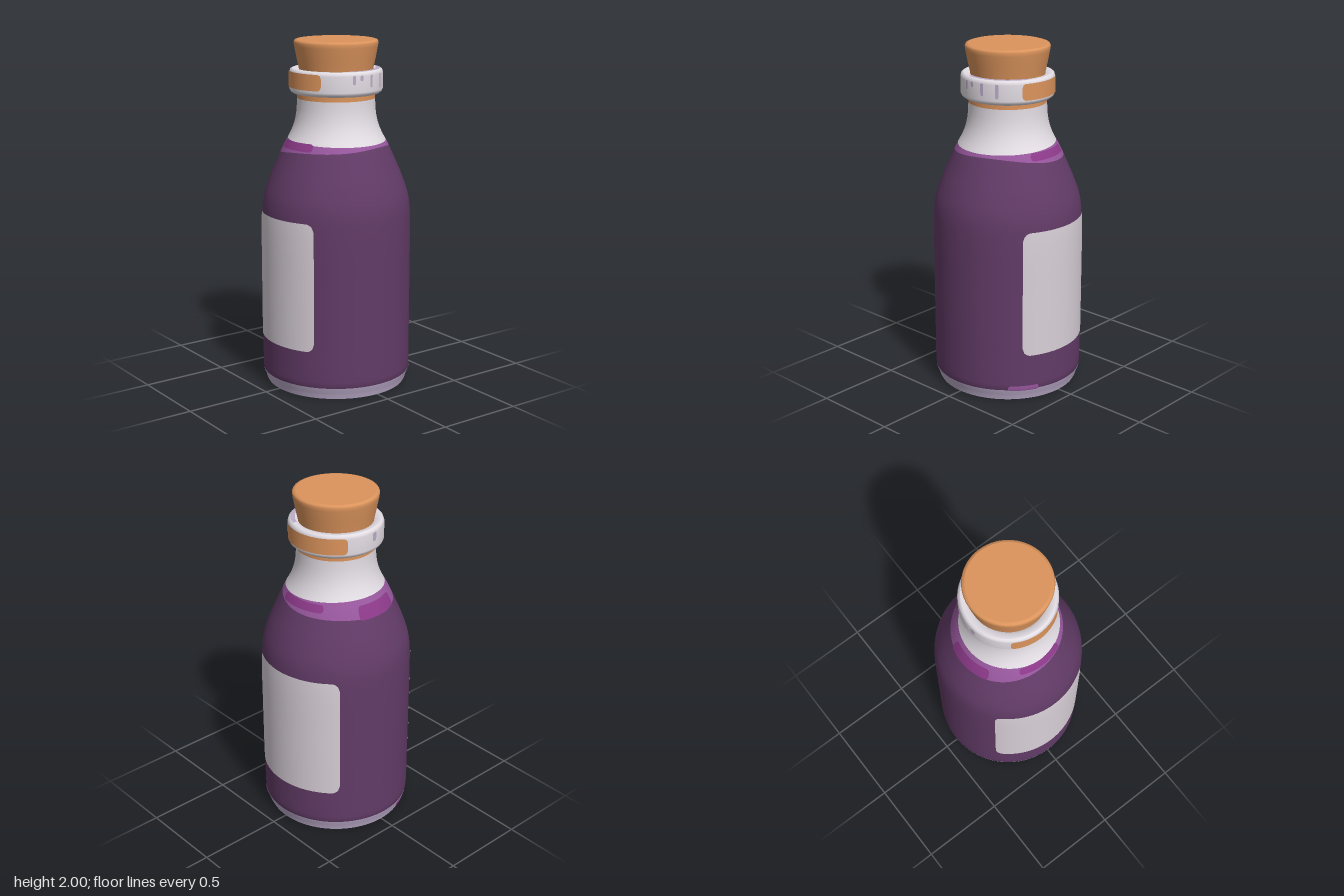
import * as THREE from 'three';

const mat = (name, color, side = THREE.FrontSide) => {
  const m = new THREE.MeshStandardMaterial({ color, side });
  m.name = name;
  return m;
};
const purple = mat('purple liquid', 0x623b67);
const foam = mat('light purple foam', 0x98589e);
const magenta = mat('magenta foam', 0x8d3a8a);
const glass = mat('clear glass', 0xe3dde4);
const paper = mat('label paper', 0xd8d0d8);
const cork = mat('cork', 0xdc945c);
const lilac = mat('lilac glass', 0xbcacca);

// Turns control points into a smooth radius-by-height function
function profile(points) {
  const pts = new THREE.SplineCurve(points.map(([r, y]) => new THREE.Vector2(r, y))).getPoints(240);
  return (y) => {
    let i = 1;
    while (i < pts.length - 1 && pts[i].y < y) i++;
    const a = pts[i - 1], b = pts[i];
    const t = THREE.MathUtils.clamp((y - a.y) / (b.y - a.y || 1), 0, 1);
    return a.x + (b.x - a.x) * t;
  };
}

const bottleRadius = profile([
  [0.405, 0], [0.414, 0.02], [0.419, 0.05], [0.43, 0.08], [0.431, 0.3], [0.431, 0.65], [0.43, 0.95],
  [0.42, 1.09], [0.387, 1.2], [0.345, 1.3], [0.3, 1.4], [0.262, 1.47], [0.239, 1.53],
  [0.227, 1.59], [0.223, 1.65], [0.223, 1.71],
]);
const collarRadius = () => 0.266;

// Surface strip around the axis between two height functions of the angle (0 = front)
function band(radius, from, to, low, high, rows, cols = 96, lift = 0) {
  const geo = new THREE.PlaneGeometry(1, 1, cols, rows);
  const pos = geo.attributes.position, nor = geo.attributes.normal;
  const n = new THREE.Vector3();
  for (let i = 0; i < pos.count; i++) {
    const phi = from + (pos.getX(i) + 0.5) * (to - from);
    const y = THREE.MathUtils.lerp(low(phi), high(phi), pos.getY(i) + 0.5);
    const r = radius(y) + lift;
    const slope = (radius(y + 0.02) - radius(y - 0.02)) / 0.04;
    pos.setXYZ(i, Math.sin(phi) * r, y, Math.cos(phi) * r);
    n.set(Math.sin(phi), -slope, Math.cos(phi)).normalize();
    nor.setXYZ(i, n.x, n.y, n.z);
  }
  return geo;
}

// Thin rounded patch wrapped on a surface, angles in degrees
function patch(radius, fromDeg, toDeg, y0, y1, corner, rows = 1, lift = 0.003) {
  const a = THREE.MathUtils.degToRad(fromDeg), b = THREE.MathUtils.degToRad(toDeg);
  const r = radius((y0 + y1) / 2);
  const inset = (phi) => {
    const d = Math.max(0, Math.min(phi - a, b - phi)) * r;
    return d >= corner ? 0 : corner - Math.sqrt(corner * corner - (corner - d) ** 2);
  };
  return band(radius, a, b, (p) => y0 + inset(p), (p) => y1 - inset(p), rows, 64, lift);
}

const lathe = (points) => new THREE.LatheGeometry(points.map(([r, y]) => new THREE.Vector2(r, y)), 64);

export function createModel() {
  const group = new THREE.Group();
  const add = (name, geometry, material) => {
    const mesh = new THREE.Mesh(geometry, material);
    mesh.name = name;
    group.add(mesh);
    return mesh;
  };
  const at = (y) => () => y;
  const ring = (low, high, rows) => band(bottleRadius, 0, Math.PI * 2, low, high, rows);

  // Bottle wall, split by colour; the liquid surface is tilted
  const liquidTop = (p) => 1.375 + 0.03 * Math.sin(p) + 0.006 * Math.cos(3 * p);
  const foamTop = (p) => 1.437 - 0.012 * Math.sin(p);
  add('bottleBase', ring(at(0), at(0.07), 6), lilac);
  add('bottleBottom', new THREE.CircleGeometry(0.405, 64).rotateX(Math.PI / 2), lilac);
  add('liquid', ring(at(0.07), liquidTop, 40), purple);
  add('foamRing', ring(liquidTop, foamTop, 4), foam);
  add('neck', ring(foamTop, at(1.67), 14), glass);
  add('corkSeenThroughNeck', ring(at(1.67), at(1.71), 1), cork);

  // Darker foam patches and stains
  for (const [from, to, y0, y1] of [[-26, 28, 1.397, 1.44], [252, 302, 1.345, 1.42], [158, 215, 1.39, 1.432]]) {
    add('foamPatch', patch(bottleRadius, from, to, y0, y1, 0.02, 6), magenta);
  }
  add('baseStain', patch(bottleRadius, -72, -38, 0.02, 0.042, 0.01, 2), magenta);
  add('baseFoam', patch(bottleRadius, 133, 157, 0.065, 0.095, 0.014, 2), foam);

  // Paper labels on front and back
  add('frontLabel', patch(bottleRadius, -48, 37.5, 0.28, 1.02, 0.05, 8), paper);
  add('backLabel', patch(bottleRadius, 144, 231, 0.28, 1.02, 0.05, 8), paper);

  // Collar around the mouth
  add('collar', lathe([
    [0.215, 1.7], [0.247, 1.7], [0.247, 1.7], [0.26, 1.71], [0.266, 1.725], [0.266, 1.815],
    [0.261, 1.832], [0.25, 1.838], [0.25, 1.838], [0.225, 1.838], [0.2, 1.82],
  ]), glass);
  add('collarCorkFront', patch(collarRadius, -35, 36, 1.735, 1.826, 0.025), cork);
  add('collarCorkBack', patch(collarRadius, 150, 242, 1.728, 1.822, 0.025), cork);
  for (const [from, to, y0] of [[74, 78, 1.77], [84, 88, 1.79], [99, 103, 1.75], [118, 122, 1.74], [-84, -78, 1.77]]) {
    add('collarStreak', patch(collarRadius, from, to, y0, 1.82, 0.008), lilac);
  }
  const rim = new THREE.RingGeometry(0.226, 0.25, 24, 1, -0.3, 1.5).rotateX(-Math.PI / 2);
  add('rimStreak', rim, lilac).position.y = 1.84;

  // Tapered cork stopper
  add('corkStopper', lathe([
    [0.205, 1.79], [0.212, 1.84], [0.225, 1.9], [0.237, 1.965], [0.24, 1.985], [0.235, 1.996], [0.222, 2],
  ]), cork);
  add('corkTop', new THREE.CircleGeometry(0.222, 64).rotateX(-Math.PI / 2), cork).position.y = 2;

  return group;
}
